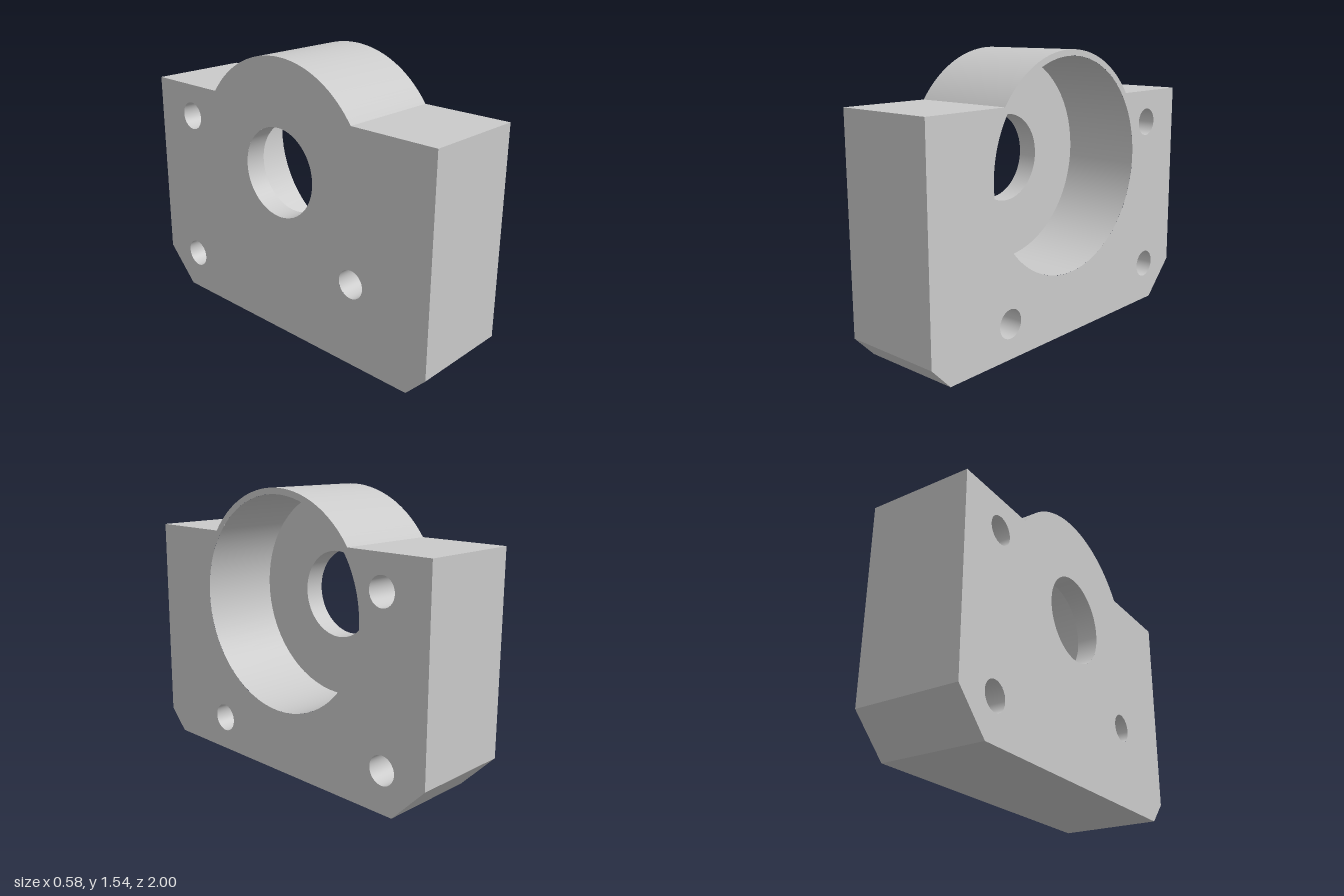
import * as THREE from 'three';

const HALF = 0.288;          // half thickness along x
const CY = 0.927;            // height of the bearing axis
const BOSS = 0.613;          // radius of the rounded top
const TOP = 1.283;           // shoulder height
const SEG = 64;

const steel = new THREE.MeshStandardMaterial({ color: 0xcacaca });
steel.name = 'grey metal';

// Rounded top, listed from the back shoulder to the front shoulder as [z, y]
const a0 = Math.asin((TOP - CY) / BOSS);
const arc = [];
for (let i = 0; i <= SEG; i++) {
  const a = a0 + (Math.PI - 2 * a0) * i / SEG;
  arc.push([-BOSS * Math.cos(a), CY + BOSS * Math.sin(a)]);
}
// Straight edges with the two unequal bottom chamfers
const flats = [arc[SEG], [1, TOP], [1, 0.12], [0.885, 0], [-0.805, 0], [-1, 0.2], [-1, TOP], arc[0]];

// Holes: mouth side, centre, and profile as [radius, depth] pairs
const bore = [[0.58, 0], [0.58, 0.458], [0.246, 0.458], [0.246, 2 * HALF]];
const through = [[0.078, 0], [0.078, 0.2], [0.067, 0.2], [0.067, 0.376], [0.078, 0.376], [0.078, 2 * HALF]];
const blind = [[0.078, 0], [0.078, 0.25], [0.067, 0.25], [0.067, 0.34], [0, 0.34]];
const holes = [
  { name: 'bearingBore', z: 0, y: CY, side: 1, profile: bore },
  { name: 'upperBoltHole', z: -0.717, y: 1.1, side: 1, profile: through },
  { name: 'lowerBoltHole', z: -0.737, y: 0.227, side: 1, profile: through },
  { name: 'rightBlindHole', z: 0.467, y: 0.19, side: 1, profile: blind },
  { name: 'leftBlindHole', z: 0.513, y: 0.46, side: -1, profile: blind },
];

function mesh(name, geometry) {
  const m = new THREE.Mesh(geometry, steel);
  m.name = name;
  return m;
}

// Large side face, pierced wherever a hole opens on it
function sideFace(side) {
  const outline = [...arc, ...flats.slice(1, -1)];
  const shape = new THREE.Shape(outline.map(([z, y]) => new THREE.Vector2(-side * z, y)));
  for (const h of holes) {
    const last = h.profile[h.profile.length - 1];
    const r = h.side === side ? h.profile[0][0] : last[0];
    if (r === 0) continue;
    const path = new THREE.Path();
    path.absarc(-side * h.z, h.y, r, 0, Math.PI * 2, true);
    shape.holes.push(path);
  }
  const g = new THREE.ShapeGeometry(shape, SEG);
  g.rotateY(side * Math.PI / 2);
  g.translate(side * HALF, 0, 0);
  return g;
}

// Band across the thickness following [z, y] points; round bands get radial normals
function band(points, round) {
  const pos = [], nor = [];
  for (let i = 0; i + 1 < points.length; i++) {
    const a = points[i], b = points[i + 1];
    const flat = new THREE.Vector3(0, b[0] - a[0], a[1] - b[1]).normalize();
    for (const [p, x] of [[a, -1], [b, -1], [b, 1], [a, -1], [b, 1], [a, 1]]) {
      pos.push(x * HALF, p[1], p[0]);
      const n = round ? new THREE.Vector3(0, p[1] - CY, p[0]).normalize() : flat;
      nor.push(n.x, n.y, n.z);
    }
  }
  const g = new THREE.BufferGeometry();
  g.setAttribute('position', new THREE.Float32BufferAttribute(pos, 3));
  g.setAttribute('normal', new THREE.Float32BufferAttribute(nor, 3));
  return g;
}

// Inner surface of a hole, one turned strip per profile segment to keep edges crisp
function holeGroup({ name, z, y, side, profile }) {
  const group = new THREE.Group();
  group.name = name;
  for (let i = 0; i + 1 < profile.length; i++) {
    const pts = [profile[i], profile[i + 1]].map(([r, d]) => new THREE.Vector2(r, -d));
    group.add(mesh(name + 'Surface', new THREE.LatheGeometry(pts, SEG)));
  }
  group.rotation.z = -side * Math.PI / 2;
  group.position.set(side * HALF, y, z);
  return group;
}

export function createModel() {
  const model = new THREE.Group();
  model.name = 'bearingBlock';
  model.add(mesh('rightFace', sideFace(-1)), mesh('leftFace', sideFace(1)));
  model.add(mesh('roundedTop', band(arc, true)), mesh('blockEdges', band(flats, false)));
  for (const h of holes) model.add(holeGroup(h));
  return model;
}
